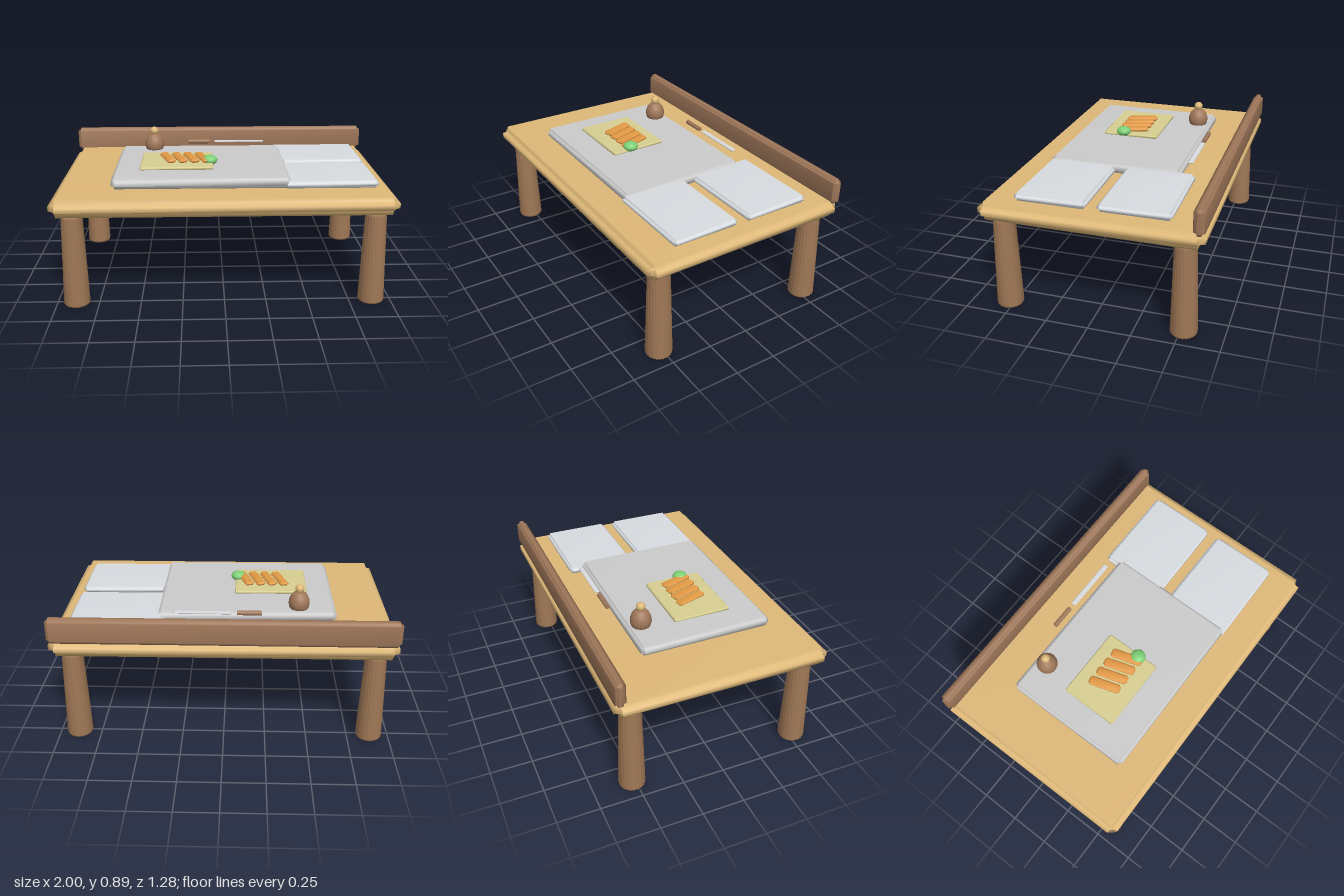
import * as THREE from 'three';
import { mergeVertices } from 'three/addons/utils/BufferGeometryUtils.js';

const COVE = [[0, 1], [1 / 9, 4 / 9], [4 / 9, 1 / 9], [1, 0]]; // concave quarter, outward / along

// Box whose edges are cut by a small concave cove of radius r, with shared smooth normals
function covedBox(w, h, d, r) {
  const ix = w / 2 - r, iy = h / 2 - r, iz = d / 2 - r;
  const levels = [
    ...COVE.map(([e, s]) => [e * r, -iy - s * r]),
    ...COVE.slice().reverse().map(([e, s]) => [e * r, iy + s * r]),
  ];
  const signs = [[1, 1], [-1, 1], [-1, -1], [1, -1]];
  const pos = [], idx = [], n = 16;
  for (const [e, y] of levels) {
    signs.forEach(([sx, sz], q) => {
      const arc = q % 2 ? COVE : COVE.slice().reverse();
      for (const [u, v] of arc) pos.push(sx * (ix + e * u), y, sz * (iz + e * v));
    });
  }
  for (let l = 0; l < levels.length - 1; l++) {
    for (let i = 0; i < n; i++) {
      const a = l * n + i, b = l * n + (i + 1) % n;
      idx.push(a, a + n, b, b, a + n, b + n);
    }
  }
  const t = (levels.length - 1) * n;
  idx.push(0, 4, 8, 0, 8, 12, t, t + 8, t + 4, t, t + 12, t + 8);
  const g = new THREE.BufferGeometry();
  g.setAttribute('position', new THREE.Float32BufferAttribute(pos, 3));
  g.setIndex(idx);
  const merged = mergeVertices(g, 1e-5);
  merged.computeVertexNormals();
  return merged;
}

// Tapered post with alternating ridges and grooves
function flutedLeg() {
  const sides = 44;
  const profile = [[0, 0], [0.069, 0], [0.078, 0.014], [0.063, 0.546], [0.055, 0.558], [0, 0.558]];
  const g = new THREE.LatheGeometry(profile.map(([x, y]) => new THREE.Vector2(x, y)), sides);
  const p = g.attributes.position;
  for (let i = 0; i < p.count; i++) {
    const groove = Math.floor(i / profile.length) % 2 ? 0.91 : 1;
    p.setXYZ(i, p.getX(i) * groove, p.getY(i), p.getZ(i) * groove);
  }
  g.deleteAttribute('normal');
  g.deleteAttribute('uv');
  const merged = mergeVertices(g, 1e-5);
  merged.computeVertexNormals();
  return merged;
}

export function createModel() {
  const root = new THREE.Group();
  root.name = 'kitchenTable';
  const mat = (color) => new THREE.MeshStandardMaterial({ color });
  const wood = mat(0xdeb878), brown = mat(0xa0785a), legWood = mat(0xa07856);
  const metal = mat(0xcccccc), steel = mat(0xd8dce0), boardWood = mat(0xd8cf92);
  const orange = mat(0xe39a45), green = mat(0x7fd077);

  const add = (name, geometry, material, x, y, z) => {
    const m = new THREE.Mesh(geometry, material);
    m.name = name;
    m.position.set(x, y, z);
    root.add(m);
    return m;
  };

  // Table
  add('tableTop', covedBox(2, 0.11, 1.28, 0.04), wood, 0, 0.625, 0);
  add('backRail', covedBox(2, 0.155, 0.064, 0.02), brown, 0, 0.738, -0.608);
  const leg = flutedLeg();
  for (const sx of [-1, 1]) {
    for (const sz of [-1, 1]) {
      add((sz > 0 ? 'front' : 'back') + (sx > 0 ? 'Left' : 'Right') + 'Leg', leg, legWood, sx * 0.882, 0, sz * 0.522);
    }
  }

  // Work surface and the two side plates
  add('workSurface', covedBox(1.06, 0.066, 0.8, 0.02), metal, -0.133, 0.713, 0.036);
  const plate = covedBox(0.555, 0.048, 0.415, 0.017);
  add('backPlate', plate, steel, 0.633, 0.703, -0.242);
  add('frontPlate', plate, steel, 0.633, 0.703, 0.237);

  // Cutting board with vegetables
  add('cuttingBoard', covedBox(0.445, 0.022, 0.35, 0.006), boardWood, -0.282, 0.755, 0.079);
  const carrot = covedBox(0.056, 0.026, 0.195, 0.01);
  for (let i = 0; i < 4; i++) {
    add('carrot', carrot, orange, -0.34 + i * 0.072, 0.777, 0.076).rotation.y = 0.3;
  }
  const cabbage = add('cabbage', new THREE.SphereGeometry(0.046, 24, 16), green, -0.079, 0.775, 0.127);
  cabbage.scale.y = 0.65;

  // Jar with round knob
  const jarProfile = [[0, 0], [0.053, 0], [0.059, 0.015], [0.063, 0.035], [0.06, 0.058],
    [0.051, 0.08], [0.037, 0.098], [0.02, 0.108], [0, 0.111]];
  const jar = new THREE.LatheGeometry(jarProfile.map(([x, y]) => new THREE.Vector2(x, y)), 28);
  add('jarBody', jar, brown, -0.443, 0.741, -0.281);
  add('jarKnob', new THREE.SphereGeometry(0.027, 20, 14), wood, -0.443, 0.867, -0.281);

  // Knife
  const handle = add('knifeHandle', new THREE.CylinderGeometry(0.014, 0.014, 0.145, 14), brown, -0.147, 0.762, -0.402);
  handle.rotation.z = Math.PI / 2;
  add('knifeBlade', covedBox(0.335, 0.009, 0.03, 0.003), steel, 0.126, 0.762, -0.402);

  return root;
}
